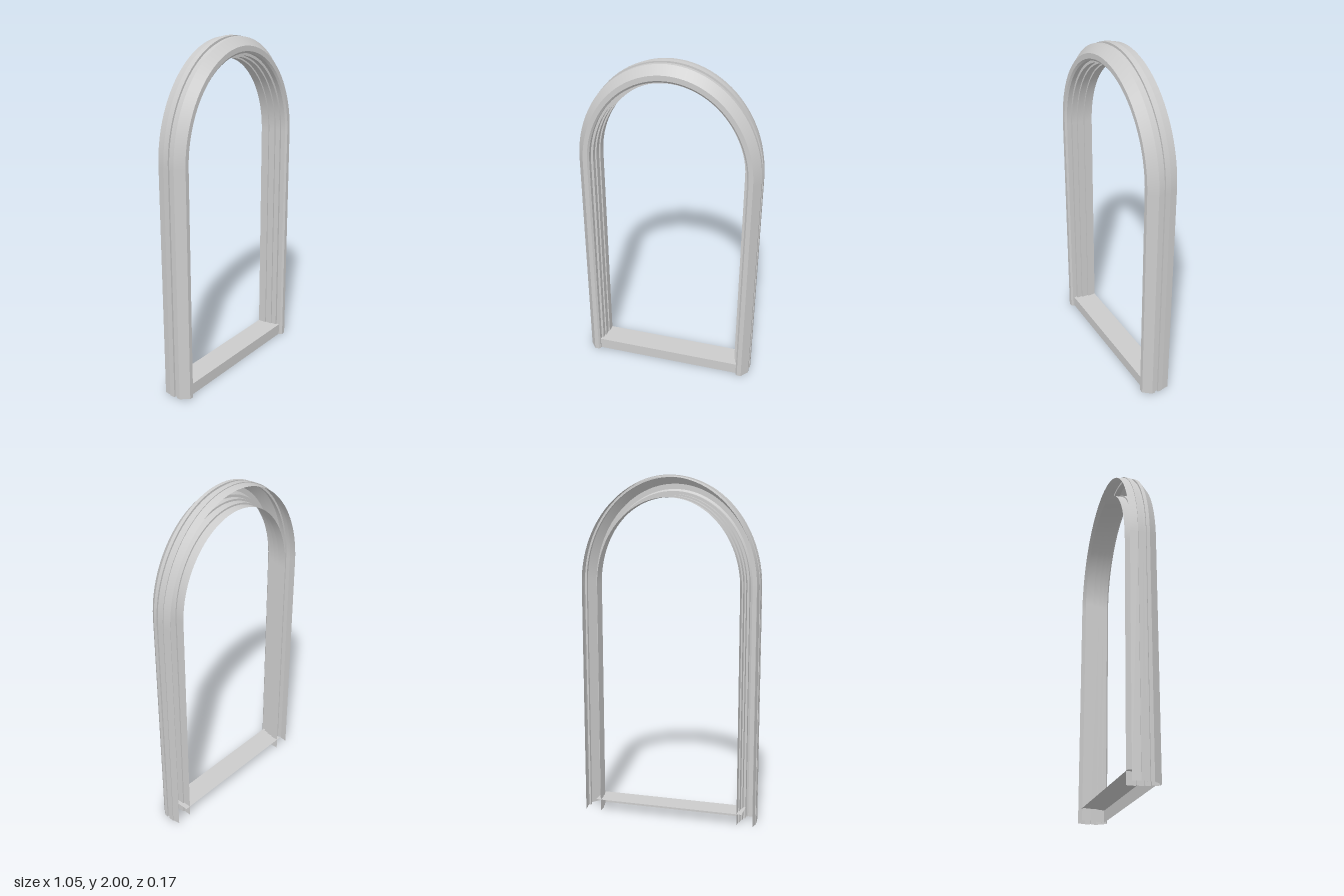
import * as THREE from 'three';
import { mergeGeometries } from 'three/addons/utils/BufferGeometryUtils.js';

const SPRING = 1.38;          // height where the arch begins
const RISE = 0.62 / 0.525;    // arch height per unit of half width
const ARCH_STEPS = 48;

// Moulding section [half width, z], from outer back round the front to inner back
const PROFILE = [
  [0.515, -0.08], [0.521, -0.036], [0.525, -0.036], [0.525, -0.006],
  [0.514, -0.006], [0.514, 0.012], [0.523, 0.012], [0.523, 0.032],
  [0.485, 0.08], [0.46, 0.08], [0.45, 0.07], [0.45, 0.042],
  [0.437, 0.042], [0.437, 0.01], [0.428, 0.01], [0.428, -0.03],
  [0.42, -0.03], [0.42, -0.08],
];

// Point at path station i: foot, arch, opposite foot
function station(i, [r, z]) {
  if (i === 0) return [r, 0, z];
  if (i === ARCH_STEPS + 2) return [-r, 0, z];
  const a = Math.PI * (i - 1) / ARCH_STEPS;
  return [r * Math.cos(a), SPRING + RISE * r * Math.sin(a), z];
}

// One face of the moulding, smooth along the arch and sharp at its long edges
function strip(p, q) {
  const pos = [], index = [];
  for (let i = 0; i <= ARCH_STEPS + 2; i++) {
    pos.push(...station(i, p), ...station(i, q));
    if (i > 0) {
      const a = 2 * (i - 1);
      index.push(a, a + 2, a + 1, a + 1, a + 2, a + 3);
    }
  }
  const g = new THREE.BufferGeometry();
  g.setAttribute('position', new THREE.Float32BufferAttribute(pos, 3));
  g.setIndex(index);
  g.computeVertexNormals();
  return g;
}

export function createModel() {
  const group = new THREE.Group();
  group.name = 'archedFrame';
  const material = new THREE.MeshStandardMaterial({ color: 0xcccccc, side: THREE.DoubleSide });
  const add = (name, geometry) => {
    const mesh = new THREE.Mesh(geometry, material);
    mesh.name = name;
    group.add(mesh);
    return mesh;
  };

  // Arched moulding, hollow and open at the back
  const strips = PROFILE.slice(1).map((q, i) => strip(PROFILE[i], q));
  add('archMoulding', mergeGeometries(strips));

  // Sill: a front board and a top board
  const width = 0.9, height = 0.07, front = 0.06, back = -0.08;
  add('sillFront', new THREE.PlaneGeometry(width, height)).position.set(0, height / 2, front);
  const top = new THREE.PlaneGeometry(width, front - back).rotateX(-Math.PI / 2);
  add('sillTop', top).position.set(0, height, (front + back) / 2);

  // The frame stands very slightly turned
  group.rotation.y = -0.006;
  return group;
}
